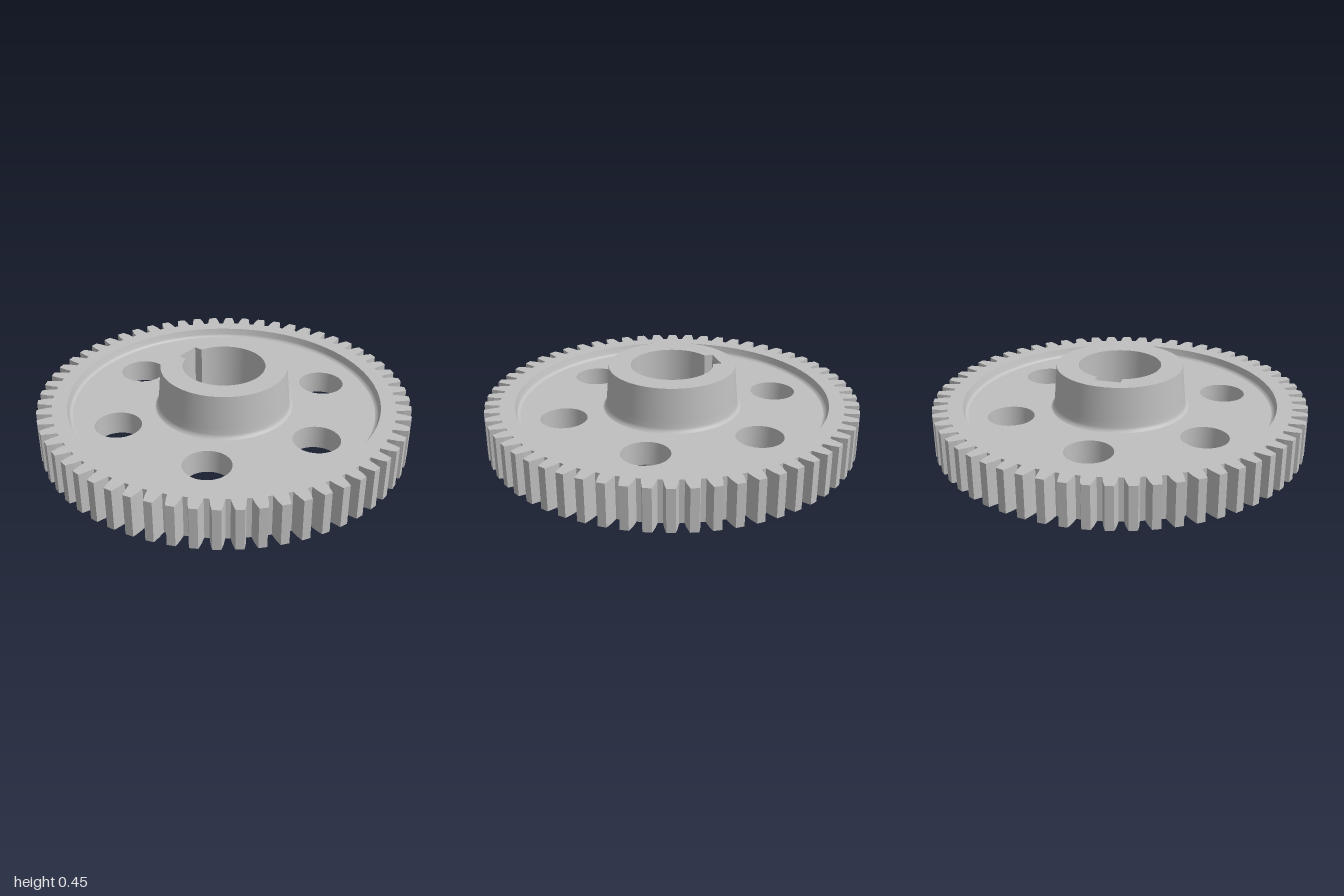
import * as THREE from 'three';
import { toCreasedNormals } from 'three/addons/utils/BufferGeometryUtils.js';

const SEG = 96, TEETH = 60;
const RIM = [0.04, 0.265], WEB = [0.09, 0.217], HUB = [0, 0.45];

const polar = (r, a) => new THREE.Vector2(r * Math.cos(a), r * Math.sin(a));

// Counter-clockwise arc of points, end included
function arc(r, from, to, n, cx = 0, cy = 0) {
  return Array.from({ length: n + 1 }, (_, i) =>
    polar(r, from + ((to - from) * i) / n).add(new THREE.Vector2(cx, cy)));
}
const circle = (r, n = SEG, cx = 0, cy = 0) => arc(r, 0, Math.PI * 2, n, cx, cy).slice(0, n);

// Horizontal face with holes, facing up or down
function face(outline, holes, y, up) {
  const shape = new THREE.Shape(outline);
  shape.holes = holes.map((h) => new THREE.Path(h));
  const g = new THREE.ShapeGeometry(shape);
  g.rotateX(-Math.PI / 2);
  g.translate(0, y, 0);
  if (!up) {
    const index = g.index.array;
    for (let i = 0; i < index.length; i += 3) {
      [index[i], index[i + 1]] = [index[i + 1], index[i]];
    }
    g.computeVertexNormals();
  }
  return g;
}

// Vertical wall along a closed outline; inward walls face the axis of a hole
function wall(outline, [y0, y1], inward, crease) {
  const pts = inward ? [...outline].reverse() : outline;
  const pos = [];
  pts.forEach((a, i) => {
    const b = pts[(i + 1) % pts.length];
    pos.push(a.x, y0, -a.y, b.x, y0, -b.y, b.x, y1, -b.y);
    pos.push(a.x, y0, -a.y, b.x, y1, -b.y, a.x, y1, -a.y);
  });
  const g = new THREE.BufferGeometry();
  g.setAttribute('position', new THREE.Float32BufferAttribute(pos, 3));
  return toCreasedNormals(g, crease);
}

const turned = (profile) =>
  new THREE.LatheGeometry(profile.map(([r, y]) => new THREE.Vector2(r, y)), SEG);

export function createModel() {
  const steel = new THREE.MeshStandardMaterial({ color: 0xbfbfbf });
  steel.name = 'steel grey';
  const model = new THREE.Group();
  model.name = 'spurGear';

  function part(name, geometries) {
    const group = new THREE.Group();
    group.name = name;
    for (const [label, g] of Object.entries(geometries)) {
      const mesh = new THREE.Mesh(g, steel);
      mesh.name = label;
      group.add(mesh);
    }
    model.add(group);
  }

  // Toothed rim: each tooth is root, mid flank, tip, then mirrored
  const flank = [[0.92, 0.039], [0.96, 0.032], [1, 0.021]];
  const teeth = [];
  for (let i = 0; i < TEETH; i++) {
    const a = (i / TEETH) * Math.PI * 2;
    flank.forEach(([r, h]) => teeth.push(polar(r, a - h)));
    [...flank].reverse().forEach(([r, h]) => teeth.push(polar(r, a + h)));
  }
  const rimHole = [circle(0.84)];
  part('rim', {
    teeth: wall(teeth, RIM, false, 0.08),
    rimTop: face(teeth, rimHole, RIM[1], true),
    rimBottom: face(teeth, rimHole, RIM[0], false),
    upperRecessWall: turned([[0.84, RIM[1]], [0.832, 0.232], [0.827, 0.222], [0.815, WEB[1]]]),
    lowerRecessWall: turned([[0.815, WEB[0]], [0.827, 0.085], [0.832, 0.075], [0.84, RIM[0]]]),
  });

  // Web with six round lightening holes
  const bores = Array.from({ length: 6 }, (_, i) => {
    const c = polar(0.595, Math.PI / 6 + (i * Math.PI) / 3);
    return circle(0.123, 48, c.x, c.y);
  });
  const webParts = {
    webTop: face(circle(0.815), [circle(0.372), ...bores], WEB[1], true),
    webBottom: face(circle(0.815), [circle(0.372), ...bores], WEB[0], false),
  };
  bores.forEach((b, i) => { webParts[`lighteningHole${i + 1}`] = wall(b, WEB, true, 0.5); });
  part('web', webParts);

  // Tapered hub with filleted foot and keyed bore
  const half = 0.068, a = Math.asin(half / 0.22);
  const bore = [
    ...arc(0.22, Math.PI / 2 + a, Math.PI * 2.5 - a, 72),
    new THREE.Vector2(half, 0.255),
    new THREE.Vector2(-half, 0.255),
  ];
  part('hub', {
    upperHub: turned([[0.372, WEB[1]], [0.36, 0.224], [0.355, 0.24], [0.352, 0.275], [0.337, HUB[1]]]),
    lowerHub: turned([[0.338, HUB[0]], [0.345, 0.04], [0.35, 0.07], [0.357, 0.083], [0.372, WEB[0]]]),
    hubTop: face(circle(0.337), [bore], HUB[1], true),
    hubBottom: face(circle(0.338), [bore], HUB[0], false),
    keyedBore: wall(bore, HUB, true, 0.5),
  });

  return model;
}
